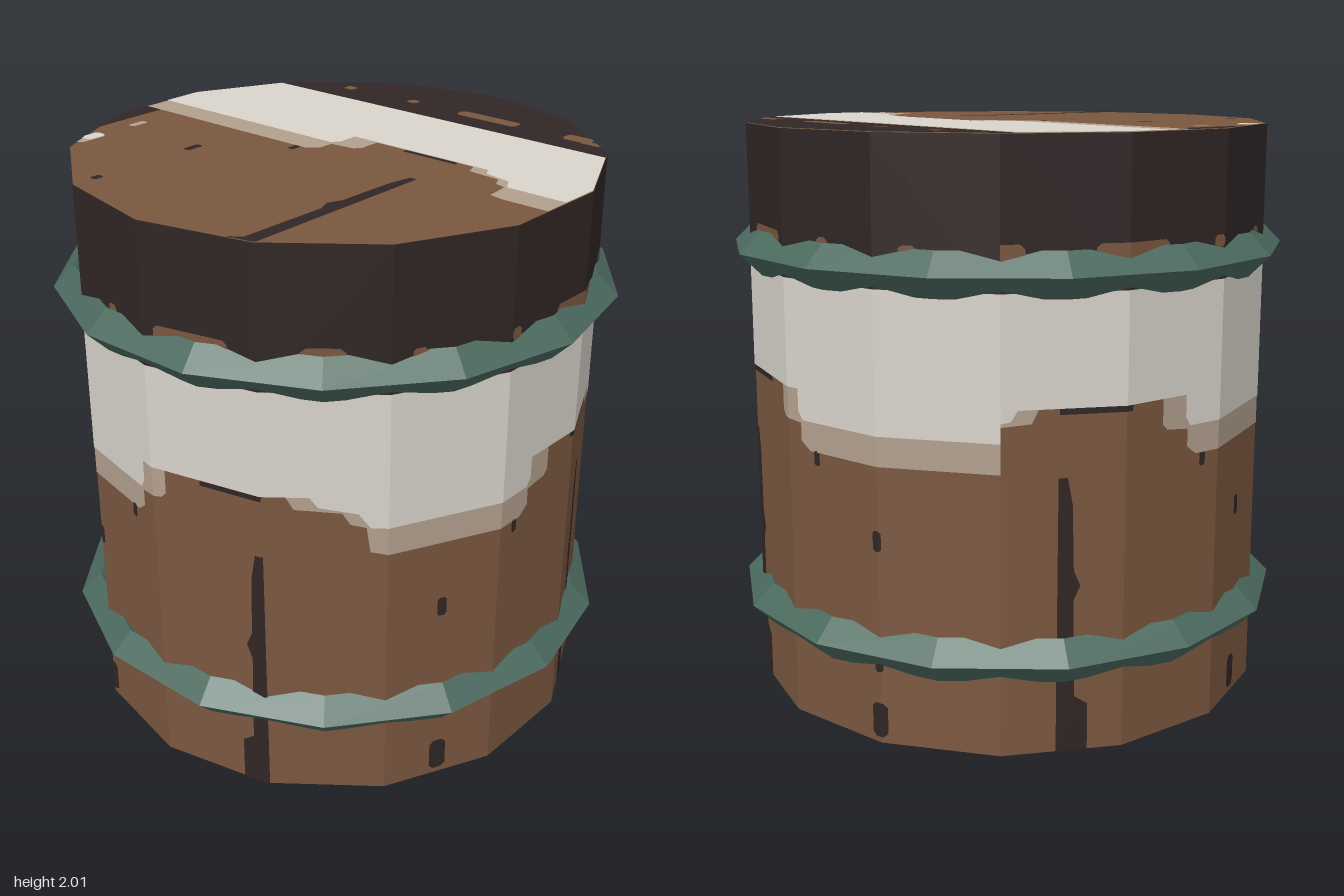
import * as THREE from 'three';

const SIDES = 14, RADIUS = 0.914, HEIGHT = 2;
const material = (name, color) => Object.assign(new THREE.MeshStandardMaterial({ color }), { name });

// Chamfered rectangle in pattern coordinates
const blob = (u, v, w, h) => {
  const a = w / 2, b = h / 2, c = Math.min(a, b) * 0.5;
  return [[u - a + c, v - b], [u + a - c, v - b], [u + a, v - b + c], [u + a, v + b - c],
    [u + a - c, v + b], [u - a + c, v + b], [u - a, v + b - c], [u - a, v - b + c]];
};
const rect = (u0, v0, u1, v1) => [[u0, v0], [u1, v0], [u1, v1], [u0, v1]];

// Clip a polygon to a convex counter-clockwise outline
function clip(poly, outline) {
  outline.forEach((a, i) => {
    const b = outline[(i + 1) % outline.length];
    const side = (p) => (b[0] - a[0]) * (p[1] - a[1]) - (b[1] - a[1]) * (p[0] - a[0]);
    const out = [];
    poly.forEach((p, j) => {
      const q = poly[(j + 1) % poly.length], sp = side(p), sq = side(q);
      if (sp >= 0) out.push(p);
      if ((sp > 0 && sq < 0) || (sp < 0 && sq > 0)) {
        const t = sp / (sp - sq);
        out.push([p[0] + (q[0] - p[0]) * t, p[1] + (q[1] - p[1]) * t]);
      }
    });
    poly = out;
  });
  return poly;
}

// Each flat face of the drum: its outline in the paint pattern, and the way back to 3D
function drumFaces() {
  const rim = Array.from({ length: SIDES }, (_, i) => {
    const a = (i / SIDES) * Math.PI * 2;
    return new THREE.Vector3(Math.sin(a) * RADIUS, 0, Math.cos(a) * RADIUS);
  });
  const faces = rim.map((p, i) => {
    const q = rim[(i + 1) % SIDES];
    const normal = p.clone().add(q).normalize();
    const toU = (w) => (Math.abs(normal.z) > Math.abs(normal.x) ? w.x : -w.z);
    const u0 = toU(p), u1 = toU(q);
    return {
      normal,
      outline: rect(Math.min(u0, u1), 0, Math.max(u0, u1), HEIGHT),
      place: ([u, v], lift) => p.clone().lerp(q, (u - u0) / (u1 - u0)).multiplyScalar(1 + lift).setY(v),
    };
  });
  for (const up of [1, -1]) {
    faces.push({
      normal: new THREE.Vector3(0, up, 0),
      outline: rim.map((w) => [w.x, 1 - w.z]),
      place: ([u, v], lift) => new THREE.Vector3(u, up > 0 ? HEIGHT + lift : -lift, 1 - v),
    });
  }
  return faces;
}

// Paint one set of pattern polygons over every face of the drum
function paint(faces, polys, lift) {
  const pos = [];
  for (const face of faces) for (const poly of polys) {
    const cut = clip(poly, face.outline);
    if (cut.length < 3) continue;
    const contour = cut.map(([u, v]) => new THREE.Vector2(u, v));
    for (const ids of THREE.ShapeUtils.triangulateShape(contour, [])) {
      let [a, b, c] = ids.map((i) => face.place([contour[i].x, contour[i].y], lift));
      const n = b.clone().sub(a).cross(c.clone().sub(a));
      if (n.length() < 1e-9) continue;
      if (n.dot(face.normal) < 0) [b, c] = [c, b];
      for (const w of [a, b, c]) pos.push(w.x, w.y, w.z);
    }
  }
  const geo = new THREE.BufferGeometry();
  geo.setAttribute('position', new THREE.Float32BufferAttribute(pos, 3));
  geo.computeVertexNormals();
  return geo;
}

export function createModel() {
  const group = new THREE.Group();
  group.name = 'barrel';
  const rust = material('rustBrown', 0x7a573f);
  const white = material('offWhite', 0xd9d4cc);
  const tan = material('fadedTan', 0xb3a08e);
  const dark = material('charcoal', 0x302625);
  const green = material('hoopGreen', 0x4c6a5f);
  const add = (name, geo, mat) => {
    const mesh = new THREE.Mesh(geo, mat);
    mesh.name = name;
    group.add(mesh);
    return mesh;
  };

  // Drum
  const drum = new THREE.CylinderGeometry(RADIUS, RADIUS, HEIGHT, SIDES).toNonIndexed();
  drum.computeVertexNormals();
  add('drum', drum, rust).position.y = HEIGHT / 2;

  // Worn paint pattern
  const bandTop = 1.52;
  const tanEdge = [[-1, 0.95], [-0.1, 0.95], [-0.06, 0.98], [-0.06, 1.04], [0.03, 1.05], [0.05, 1.07],
    [0.05, 1.155], [0.46, 1.155], [0.48, 1.11], [0.6, 1.1], [0.62, 1.06], [0.66, 1.05], [0.67, 0.96],
    [0.72, 0.95], [1, 0.95]];
  const whiteEdge = [[-1, 1.05], [-0.07, 1.05], [-0.05, 1.08], [-0.05, 1.155], [0.52, 1.155],
    [0.54, 1.12], [0.64, 1.1], [0.67, 1.05], [1, 1.05]];
  const upToTop = (edge) => [...edge, [1, bandTop], [-1, bandTop]];
  const streak = [[0.31, 0], [0.405, 0], [0.402, 0.93], [0.375, 0.93], [0.36, 0.84], [0.355, 0.62],
    [0.335, 0.57], [0.355, 0.52], [0.35, 0.19], [0.31, 0.16]];
  const layers = [
    ['fadedBand', tan, 1, [upToTop(tanEdge), blob(-0.745, 0.77, 0.03, 0.07), blob(-0.745, 0.54, 0.055, 0.12)]],
    ['whiteBand', white, 2, [upToTop(whiteEdge), blob(-0.745, 0.56, 0.05, 0.08)]],
    ['darkTopBand', dark, 1, [rect(-1, bandTop, 1, HEIGHT)]],
    ['darkStains', dark, 1, [streak, rect(-1, 0.4, -0.82, 0.95), rect(0.18, 1.135, 0.4, 1.155),
      blob(-0.13, 0.93, 0.025, 0.05), blob(-0.39, 0.7, 0.03, 0.07), blob(-0.39, 0.27, 0.03, 0.04),
      blob(-0.388, 0.08, 0.055, 0.12)]],
    ['rustChips', rust, 2, [blob(-0.485, 1.64, 0.045, 0.04), blob(-0.18, 1.645, 0.045, 0.04),
      blob(0.17, 1.64, 0.26, 0.055), blob(0.555, 1.64, 0.11, 0.06), blob(0.62, 1.62, 0.08, 0.03)]],
  ];
  const faces = drumFaces();
  for (const [name, mat, layer, polys] of layers) add(name, paint(faces, polys, layer * 0.002), mat);

  // Diamond-section hoops
  for (const [name, y] of [['lowerHoop', 0.325], ['upperHoop', 1.575]]) {
    const hoop = new THREE.TorusGeometry(0.91, 0.075, 4, SIDES).rotateX(Math.PI / 2).toNonIndexed();
    hoop.computeVertexNormals();
    add(name, hoop, green).position.y = y;
  }
  return group;
}
